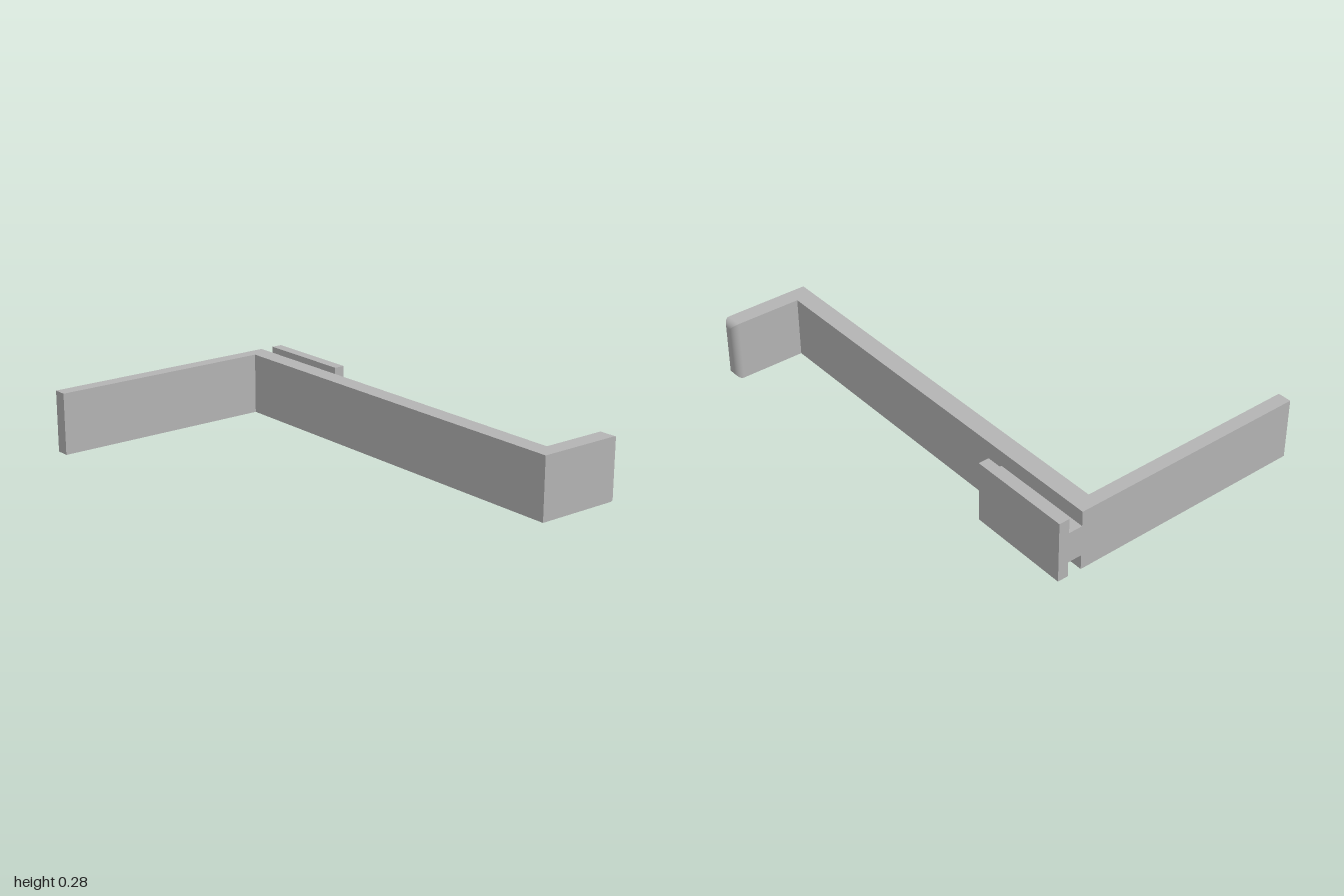
import * as THREE from 'three';

const H = 0.285; // common height of every part

// Extrude a closed outline given as [x, y] points
function extrude(points, depth) {
  const shape = new THREE.Shape(points.map(([x, y]) => new THREE.Vector2(x, y)));
  return new THREE.ExtrudeGeometry(shape, { depth, bevelEnabled: false });
}

// Bar along x whose free end is rounded on all four edges
function roundedBar(x0, x1, z0, z1, r) {
  const sections = [[x0, 0]];
  const steps = 10;
  for (let i = 0; i <= steps; i++) {
    const a = (i / steps) * Math.PI / 2;
    sections.push([x1 - r + r * Math.sin(a), r * (1 - Math.cos(a))]);
  }
  const corners = ([x, d]) => [[x, d, z0 + d], [x, H - d, z0 + d], [x, H - d, z1 - d], [x, d, z1 - d]];
  const pos = [], idx = [];
  // each side is its own strip, so the mitred corners stay crisp
  for (let s = 0; s < 4; s++) {
    const base = pos.length / 3;
    sections.forEach((sec, i) => {
      const c = corners(sec);
      pos.push(...c[s], ...c[(s + 1) % 4]);
      if (i === 0) return;
      const a = base + 2 * (i - 1);
      idx.push(a, a + 1, a + 3, a, a + 3, a + 2);
    });
  }
  // small flat at the tip
  const b = pos.length / 3;
  corners(sections[sections.length - 1]).forEach((c) => pos.push(...c));
  idx.push(b, b + 1, b + 2, b, b + 2, b + 3);
  const g = new THREE.BufferGeometry();
  g.setAttribute('position', new THREE.Float32BufferAttribute(pos, 3));
  g.setIndex(idx);
  g.computeVertexNormals();
  return g;
}

export function createModel() {
  const group = new THREE.Group();
  const grey = new THREE.MeshStandardMaterial({ color: 0xb4b4b4 });
  grey.name = 'grey';
  const add = (name, geometry) => {
    const mesh = new THREE.Mesh(geometry, grey);
    mesh.name = name;
    group.add(mesh);
    return mesh;
  };

  // Long beam with the back arm, drawn in plan (y = -z) and raised to height
  const frame = extrude([
    [-0.74, 1], [-0.74, 0.936], [0.31, 0.936], [0.31, -1], [0.397, -1], [0.397, 1],
  ], H);
  frame.rotateX(-Math.PI / 2);
  add('beamAndBackArm', frame);

  // Short front arm with the rounded tip
  add('frontArm', roundedBar(0.397, 0.737, 0.92, 1, 0.034));

  // T-shaped rail: a web joining a full-height plate to the beam
  const low = 0.07, high = H - 0.07;
  const rail = extrude([
    [0.397, low], [0.463, low], [0.463, 0], [0.513, 0],
    [0.513, H], [0.463, H], [0.463, high], [0.397, high],
  ], 0.483);
  add('mountingRail', rail).position.z = -1;

  return group;
}
